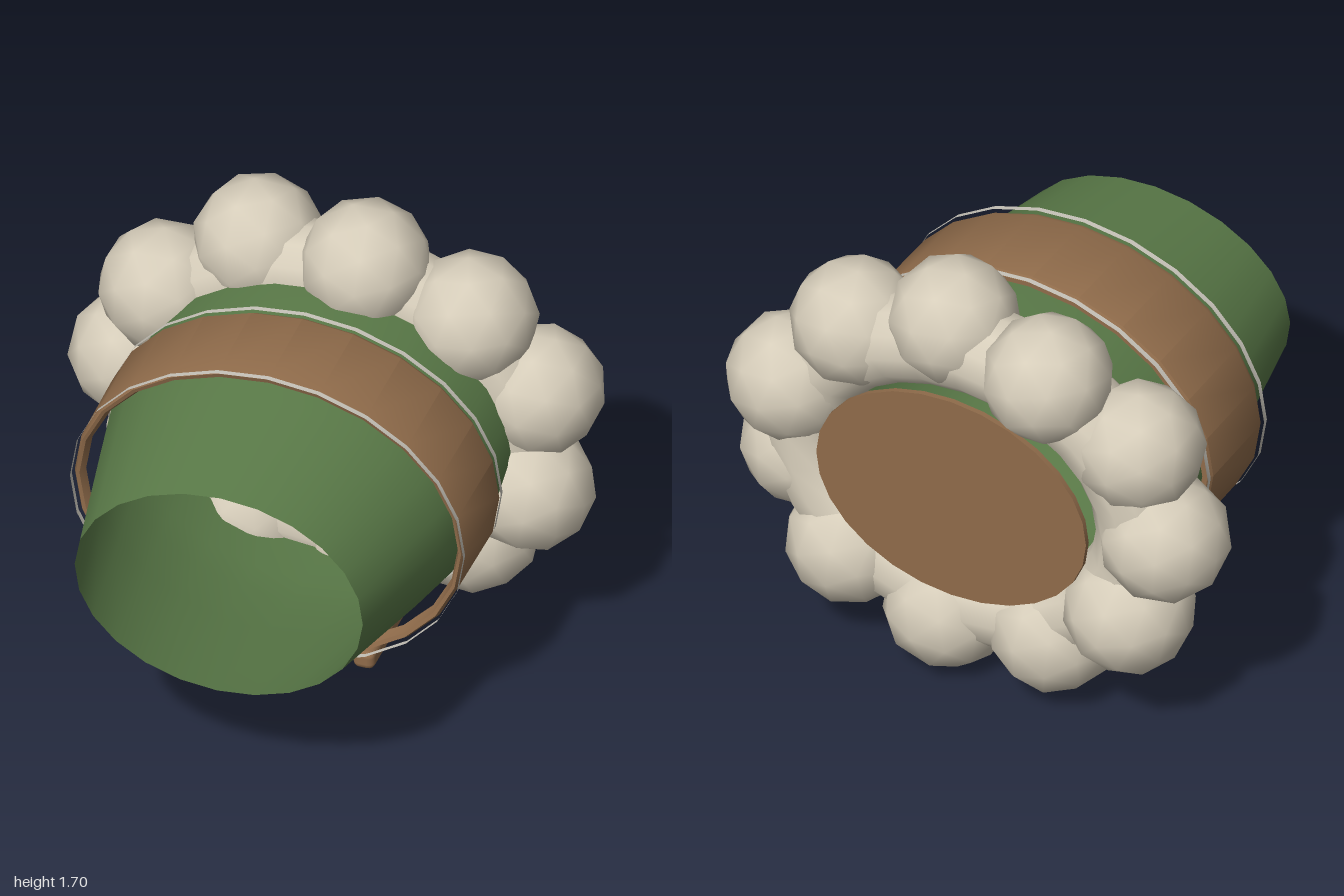
import * as THREE from 'three';
import { toCreasedNormals } from 'three/addons/utils/BufferGeometryUtils.js';
import { RoundedBoxGeometry } from 'three/addons/geometries/RoundedBoxGeometry.js';

const CY = 0.87; // height of the sleeve axis
const SIDES = 24;

const mat = (name, color, side = THREE.FrontSide) => {
  const m = new THREE.MeshStandardMaterial({ color, side });
  m.name = name;
  return m;
};

// Skin over elliptical rings [z, rx, ry, centreY, tilt], listed front to back
function loft(rings, crease = 0.6) {
  const pos = [], index = [];
  for (const [z, rx, ry, cy = CY, tilt = 0] of rings) {
    for (let i = 0; i < SIDES; i++) {
      const a = (i / SIDES) * Math.PI * 2;
      const dy = ry * Math.sin(a);
      pos.push(rx * Math.cos(a), cy + dy, z - tilt * dy);
    }
  }
  for (let k = 0; k < rings.length - 1; k++) {
    for (let i = 0; i < SIDES; i++) {
      const j = (i + 1) % SIDES;
      const a = k * SIDES + i, b = k * SIDES + j, c = a + SIDES, d = b + SIDES;
      index.push(a, c, b, b, c, d);
    }
  }
  const g = new THREE.BufferGeometry();
  g.setAttribute('position', new THREE.Float32BufferAttribute(pos, 3));
  g.setIndex(index);
  return toCreasedNormals(g, crease);
}

export function createModel() {
  const model = new THREE.Group();
  const green = mat('green cloth', 0x5a7a48, THREE.DoubleSide);
  const brown = mat('brown leather', 0x8f6b4a);
  const fur = mat('cream fur', 0xd6cdba);
  const piping = mat('pale piping', 0xc8c4ba, THREE.DoubleSide);

  const add = (name, geometry, material, x = 0, y = 0, z = 0) => {
    const mesh = new THREE.Mesh(geometry, material);
    mesh.name = name;
    mesh.position.set(x, y, z);
    model.add(mesh);
    return mesh;
  };

  // Open tapered sleeve with a slanted mouth
  add('sleeve', loft([
    [0.767, 0.54, 0.412, 0.887, 0.043],
    [0.25, 0.645, 0.515],
    [0, 0.693, 0.56],
    [-0.15, 0.705, 0.575],
    [-0.45, 0.705, 0.575],
  ]), green);

  // Leather band with bevelled rims
  add('band', loft([
    [0.2, 0.697, 0.56],
    [0.235, 0.71, 0.575],
    [0.24, 0.722, 0.592],
    [0.22, 0.733, 0.6],
    [-0.12, 0.738, 0.605],
    [-0.14, 0.725, 0.592],
    [-0.14, 0.7, 0.57],
  ]), brown);

  // Thin piping either side of the band
  for (const z of [0.25, -0.147]) {
    add('piping', loft([[z + 0.01, 0.737, 0.608], [z - 0.01, 0.737, 0.608]]), piping);
  }

  // Padded roll under the fur
  const roll = [];
  for (let i = 0; i <= 12; i++) {
    const t = (i / 12) * Math.PI * 2, s = 0.17 * Math.sin(t);
    roll.push([-0.51 + 0.17 * Math.cos(t), 0.68 + s, 0.55 + s]);
  }
  add('cuffRoll', loft(roll, 1), fur);

  // Ring of fur tufts
  const tuftZ = [-0.55, -0.5, -0.485, -0.56, -0.48, -0.51, -0.55, -0.51, -0.52, -0.53, -0.45];
  tuftZ.forEach((z, i) => {
    const a = ((i + 0.5) / tuftZ.length) * Math.PI * 2;
    const tuft = add('furTuft', new THREE.IcosahedronGeometry(0.24, 1), fur,
      0.765 * Math.cos(a), CY + 0.625 * Math.sin(a), z);
    tuft.rotation.set(i * 1.3, i * 0.7, a);
  });

  // Back disc
  const disc = add('backDisc', new THREE.CylinderGeometry(0.55, 0.55, 0.02, 28), brown, 0, CY, -0.685);
  disc.rotation.x = Math.PI / 2;
  disc.scale.z = 0.78;

  // Underside bars and knob
  for (const s of [-1, 1]) {
    add('underBar', new RoundedBoxGeometry(0.08, 0.075, 0.37, 2, 0.025), brown, s * 0.35, 0.3, 0.05);
  }
  const knob = add('knob', new THREE.SphereGeometry(0.108, 16, 10), brown, 0, 0.235, 0.05);
  knob.scale.y = 0.45;

  return model;
}
